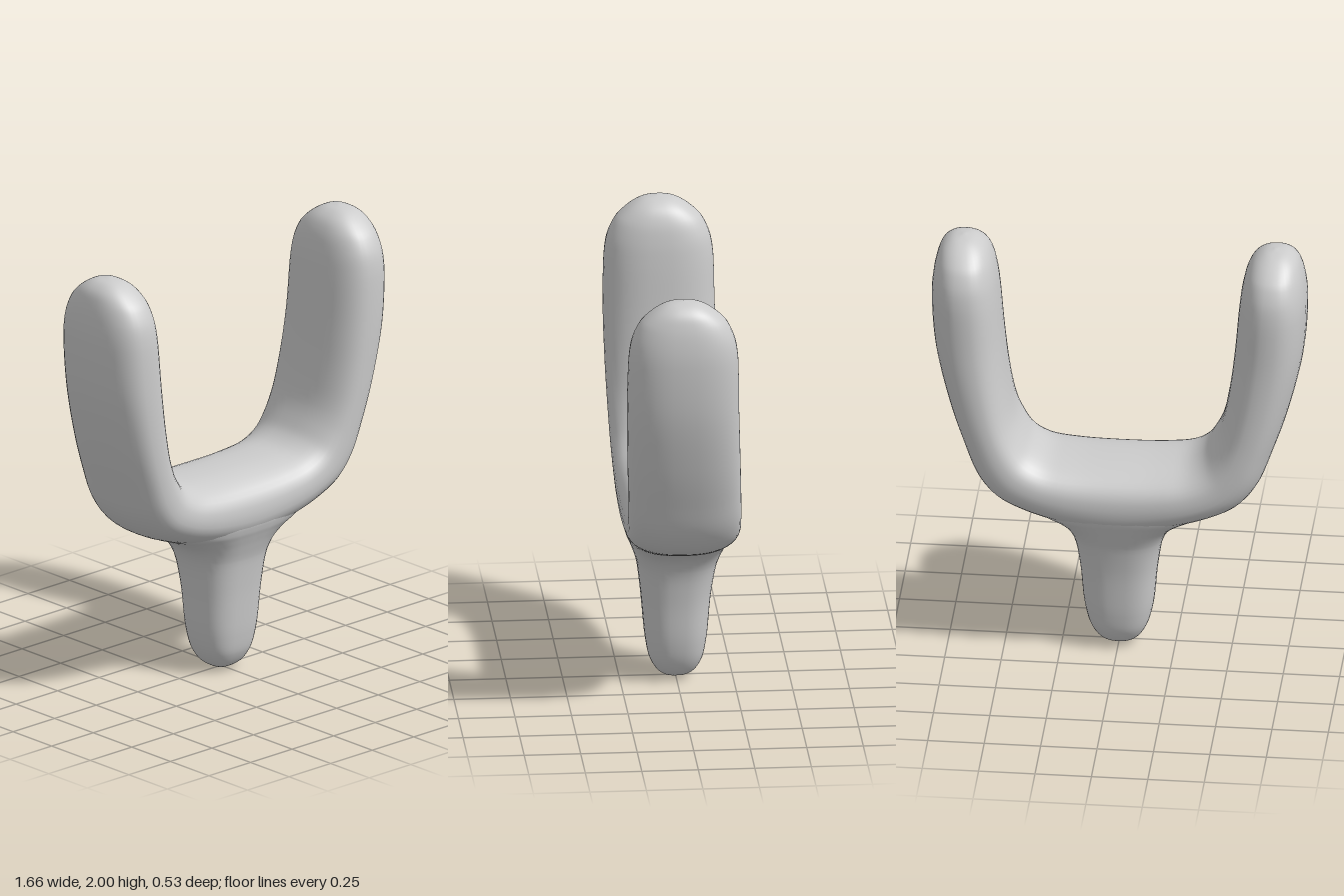
import * as THREE from 'three';
import { mergeVertices } from 'three/addons/utils/BufferGeometryUtils.js';

const material = new THREE.MeshStandardMaterial({ color: 0xcccccc });

// Smooth loft through rounded sections: [outerX, outerY, innerX, innerY, halfDepth, centreZ]
function loft(name, sections, steps, power, around = 40) {
  const curve = (f) => new THREE.CatmullRomCurve3(sections.map(f));
  const outer = curve((s) => new THREE.Vector3(s[0], s[1], 0));
  const inner = curve((s) => new THREE.Vector3(s[2], s[3], 0));
  const depth = curve((s, i) => new THREE.Vector3(s[4], s[5], i * 0.1));
  const round = (c) => Math.sign(c) * Math.abs(c) ** (2 / power);
  const rings = (sections.length - 1) * steps;
  const positions = [], index = [];
  for (let i = 0; i <= rings; i++) {
    const t = i / rings;
    const o = outer.getPoint(t), n = inner.getPoint(t), d = depth.getPoint(t);
    const centre = o.clone().add(n).multiplyScalar(0.5);
    const half = o.sub(n).multiplyScalar(0.5);
    for (let j = 0; j < around; j++) {
      const a = (j / around) * Math.PI * 2;
      const u = round(Math.cos(a)), v = round(Math.sin(a));
      positions.push(centre.x + half.x * u, centre.y + half.y * u, d.y + d.x * v);
      if (i === rings) continue;
      const k = (j + 1) % around;
      const p = i * around + j, q = i * around + k;
      index.push(p, q, p + around, q, q + around, p + around);
    }
  }
  const geometry = new THREE.BufferGeometry();
  geometry.setAttribute('position', new THREE.Float32BufferAttribute(positions, 3));
  geometry.setIndex(index);
  const merged = mergeVertices(geometry, 1e-5);
  merged.computeVertexNormals();
  const mesh = new THREE.Mesh(merged, material);
  mesh.name = name;
  return mesh;
}

export function createModel() {
  const group = new THREE.Group();
  group.name = 'forkedHandle';

  // Left prong from its tip down to the middle of the crossbar
  const prong = [
    [0.69, 2.0, 0.69, 2.0, 0, 0.02],
    [0.745, 1.988, 0.64, 1.988, 0.07, 0.02],
    [0.785, 1.955, 0.595, 1.955, 0.13, 0.02],
    [0.808, 1.9, 0.565, 1.9, 0.19, 0.02],
    [0.824, 1.82, 0.545, 1.82, 0.228, 0.02],
    [0.83, 1.72, 0.532, 1.72, 0.243, 0.02],
    [0.812, 1.48, 0.513, 1.5, 0.248, 0.02],
    [0.752, 1.22, 0.487, 1.29, 0.25, 0.013],
    [0.69, 1.03, 0.455, 1.14, 0.25, 0.006],
    [0.625, 0.866, 0.415, 1.055, 0.25, 0],
    [0.54, 0.765, 0.375, 1.0, 0.25, -0.004],
    [0.41, 0.7, 0.31, 0.962, 0.252, -0.007],
    [0.24, 0.65, 0.2, 0.948, 0.255, -0.009],
  ];
  const middle = [0, 0.62, 0, 0.945, 0.256, -0.01];
  const mirrored = prong.map(([a, b, c, d, e, f]) => [-a, b, -c, d, e, f]).reverse();
  group.add(loft('prongsAndCrossbar', [...prong, middle, ...mirrored], 5, 2.4));

  // Stem: [height, halfWidth, halfDepth, centreZ], flaring up into the crossbar
  const stem = [
    [0.8, 0, 0, -0.01],
    [0.78, 0.4, 0.235, -0.01],
    [0.74, 0.43, 0.245, -0.008],
    [0.7, 0.395, 0.238, -0.008],
    [0.66, 0.31, 0.223, -0.008],
    [0.61, 0.24, 0.203, -0.007],
    [0.54, 0.2, 0.178, -0.004],
    [0.39, 0.172, 0.155, 0],
    [0.2, 0.153, 0.138, 0],
    [0.1, 0.128, 0.12, 0],
    [0.04, 0.092, 0.088, 0],
    [0.012, 0.05, 0.05, 0],
    [0, 0, 0, 0],
  ].map(([y, w, d, z]) => [w, y, -w, y, d, z]);
  group.add(loft('stem', stem, 5, 2.6));

  return group;
}
